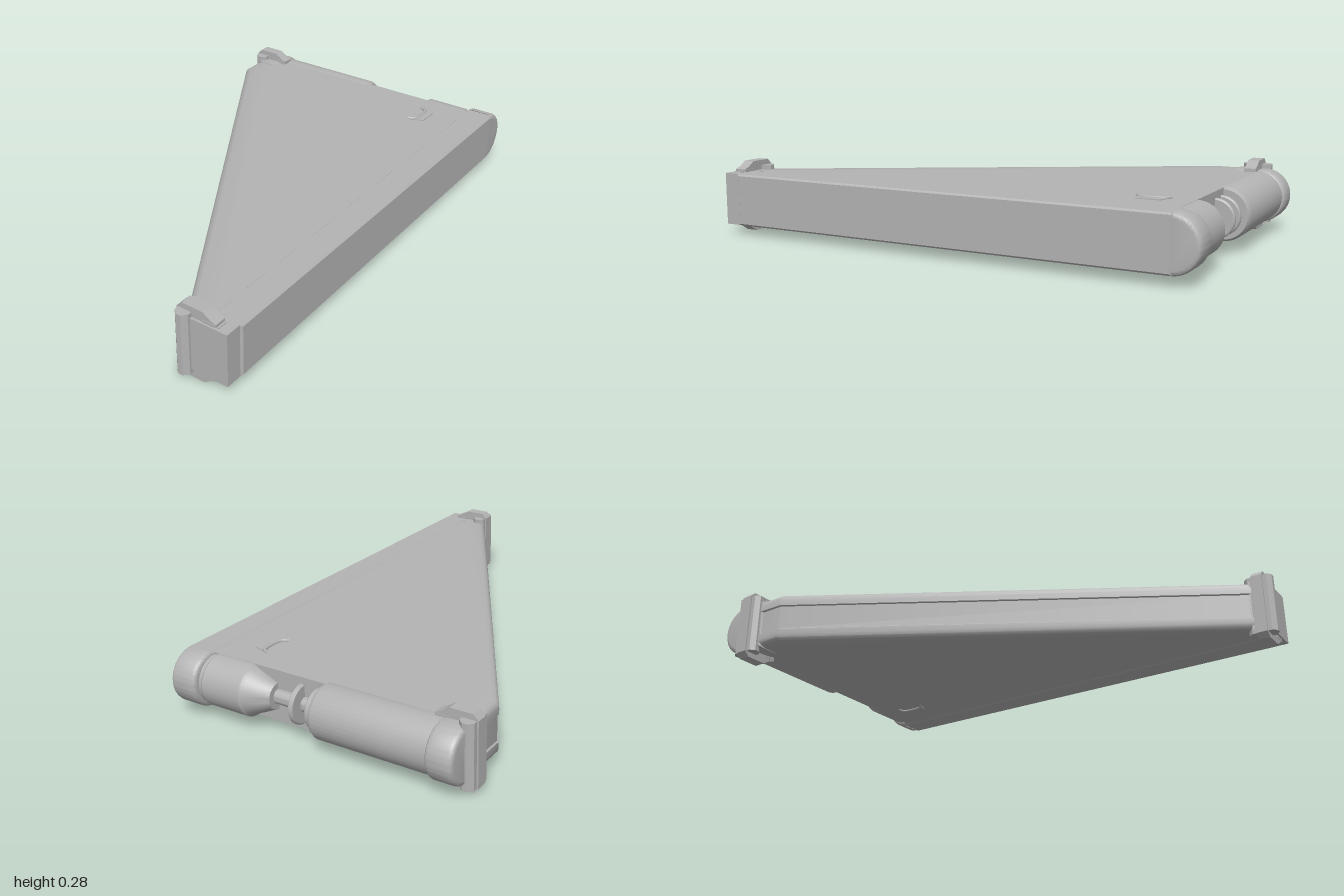
import * as THREE from 'three';
import { toCreasedNormals } from 'three/addons/utils/BufferGeometryUtils.js';

const CY = 0.143; // mid height of the flat wedge
const H = 0.103;  // half thickness

export function createModel() {
  const root = new THREE.Group();
  root.name = 'wedgeCase';
  const grey = new THREE.MeshStandardMaterial({ color: 0xb3b3b3 });
  grey.name = 'plain grey';

  const add = (name, geometry, x = 0, y = 0, z = 0, parent = root) => {
    const mesh = new THREE.Mesh(geometry, grey);
    mesh.name = name;
    mesh.position.set(x, y, z);
    parent.add(mesh);
    return mesh;
  };

  // Plan outline [x, z] extruded upwards between y0 and y1
  const slab = (points, y0, y1) => {
    const shape = new THREE.Shape(points.map(([x, z]) => new THREE.Vector2(x, -z)));
    const g = new THREE.ExtrudeGeometry(shape, { depth: y1 - y0, bevelEnabled: false });
    return g.rotateX(-Math.PI / 2).translate(0, y0, 0);
  };

  // Main triangular panel
  add('panel', slab([[-0.95, 0.55], [-0.93, 0.43], [0.69, -0.53], [0.88, -0.53], [0.88, 0.55]],
    CY - H + 0.003, CY + H - 0.003));

  // Diagonal rear rail: one cross-section carried along the back edge
  const half = [[0.105, H], [0.03, H], [0.012, 0.097], [0.003, 0.087], [0, 0.075],
    [0, 0.052], [0.006, 0.048]];
  const profile = [...half, ...half.map(([d, y]) => [d, -y]).reverse()];
  const path = [[-0.92, 0.391], [0.69, -0.57], [0.9, -0.57]];
  const pos = [];
  const at = (i, j) => [path[i][0], CY + profile[j][1], path[i][1] + profile[j][0]];
  for (let i = 0; i < path.length - 1; i++) {
    for (let j = 0; j < profile.length - 1; j++) {
      const a = at(i, j), b = at(i + 1, j), c = at(i + 1, j + 1), d = at(i, j + 1);
      pos.push(...a, ...b, ...c, ...a, ...c, ...d);
    }
  }
  const rail = new THREE.BufferGeometry();
  rail.setAttribute('position', new THREE.Float32BufferAttribute(pos, 3));
  rail.computeVertexNormals();
  add('rearRail', toCreasedNormals(rail, 0.6));

  // Front rail and the block closing the narrow left end
  const frontShape = new THREE.Shape([[-0.905, -H + 0.007], [0.89, -H + 0.007],
    [0.89, H - 0.007], [-0.905, H - 0.007]].map(p => new THREE.Vector2(...p)));
  add('frontRail', new THREE.ExtrudeGeometry(frontShape, {
    depth: 0.099, bevelThickness: 0.007, bevelSize: 0.007, bevelSegments: 1,
  }), 0, CY, 0.494);
  add('leftEndBlock', slab([[-0.977, 0.592], [-0.977, 0.43], [-0.91, 0.387], [-0.89, 0.47], [-0.89, 0.592]],
    CY - H, CY + H));

  // Half-round caps at both right-hand corners
  const endCap = (name, z0, z1, left) => {
    const b = 0.016, r = H + 0.002 - b;
    const s = new THREE.Shape();
    s.moveTo(left, -r);
    s.lineTo(0.89, -r);
    s.absarc(0.89, 0, r, -Math.PI / 2, Math.PI / 2, false);
    s.lineTo(left, r);
    const g = new THREE.ExtrudeGeometry(s, {
      depth: z1 - z0 - 2 * b, bevelThickness: b, bevelSize: b, bevelSegments: 3, curveSegments: 24,
    });
    add(name, toCreasedNormals(g, 0.6), 0, CY, z0 + b);
  };
  endCap('frontCornerCap', 0.487, 0.6, 0.9);
  endCap('rearCornerCap', -0.57, -0.467, 0.8);

  // Right-hand edge tube, turned about the z axis: [radius, z]
  const turned = (name, points) => {
    const g = new THREE.LatheGeometry(points.map(p => new THREE.Vector2(...p)), 40);
    g.rotateX(Math.PI / 2);
    add(name, toCreasedNormals(g, 0.5), 0.88, CY, 0);
  };
  turned('rearTube', [[0, -0.5], [0.102, -0.5], [0.102, -0.015], [0.094, 0], [0, 0]]);
  turned('spindle', [[0, -0.02], [0.028, -0.02], [0.028, 0.22], [0, 0.22]]);
  turned('nozzle', [[0, 0.2], [0.05, 0.2], [0.056, 0.215], [0.088, 0.285], [0.099, 0.298],
    [0.099, 0.465], [0.092, 0.475], [0.092, 0.5], [0, 0.5]]);
  for (const z of [0.022, 0.092]) {
    turned('spindleDisc', [[0, z - 0.01], [0.07, z - 0.01], [0.075, z - 0.005],
      [0.075, z + 0.005], [0.07, z + 0.01], [0, z + 0.01]]);
  }

  // Clamps: a C-shaped strap around the edge over a wide upright bar
  const jaw = [[0, 0.122], [0.02, 0.142], [0.105, 0.142], [0.135, 0.122], [0.158, 0.114],
    [0.158, 0.098], [0.03, 0.098]];
  const strapPoints = [...jaw, ...jaw.map(([z, y]) => [z, -y]).reverse()];
  const clamp = (name, x, z) => {
    const group = new THREE.Group();
    group.name = name;
    group.position.set(x, CY, z);
    root.add(group);
    const shape = new THREE.Shape(strapPoints.map(([d, y]) => new THREE.Vector2(-d, y)));
    const strap = new THREE.ExtrudeGeometry(shape, { depth: 0.046, bevelEnabled: false });
    strap.rotateY(Math.PI / 2);
    add('clampStrap', strap, -0.023, 0, 0, group);
    add('clampBar', slab([[-0.057, 0.022], [-0.04, 0.006], [0.04, 0.006], [0.057, 0.022],
      [0.057, 0.042], [0.04, 0.06], [-0.04, 0.06], [-0.057, 0.042]], -0.121, 0.121), 0, 0, 0, group);
    for (const s of [-1, 1]) {
      add('clampFoot', new THREE.BoxGeometry(0.05, 0.012, 0.05), 0, s * 0.106, 0.13, group);
    }
  };
  clamp('leftClamp', -0.945, 0.384);
  clamp('rightClamp', 0.855, -0.6);

  // Finger pulls and small end tabs on both broad faces
  for (const s of [-1, 1]) {
    const y = CY + s * (H - 0.003);
    const plate = slab([[-0.055, 0.0], [0.055, 0.0], [0.045, 0.033], [-0.045, 0.033]], -0.003, 0.003);
    add('fingerPlate', plate, 0.73, y, 0.348);
    const curve = new THREE.CatmullRomCurve3([[-0.06, -0.03], [-0.052, -0.01], [-0.035, 0],
      [0.035, 0], [0.052, -0.01], [0.06, -0.03]].map(([x, z]) => new THREE.Vector3(x, 0, z)));
    add('fingerRidge', new THREE.TubeGeometry(curve, 24, 0.007, 8), 0.73, y + s * 0.002, 0.345);
    add('endTab', new THREE.BoxGeometry(0.042, 0.006, 0.008), -0.945, CY + s * H, 0.548);
  }
  return root;
}
